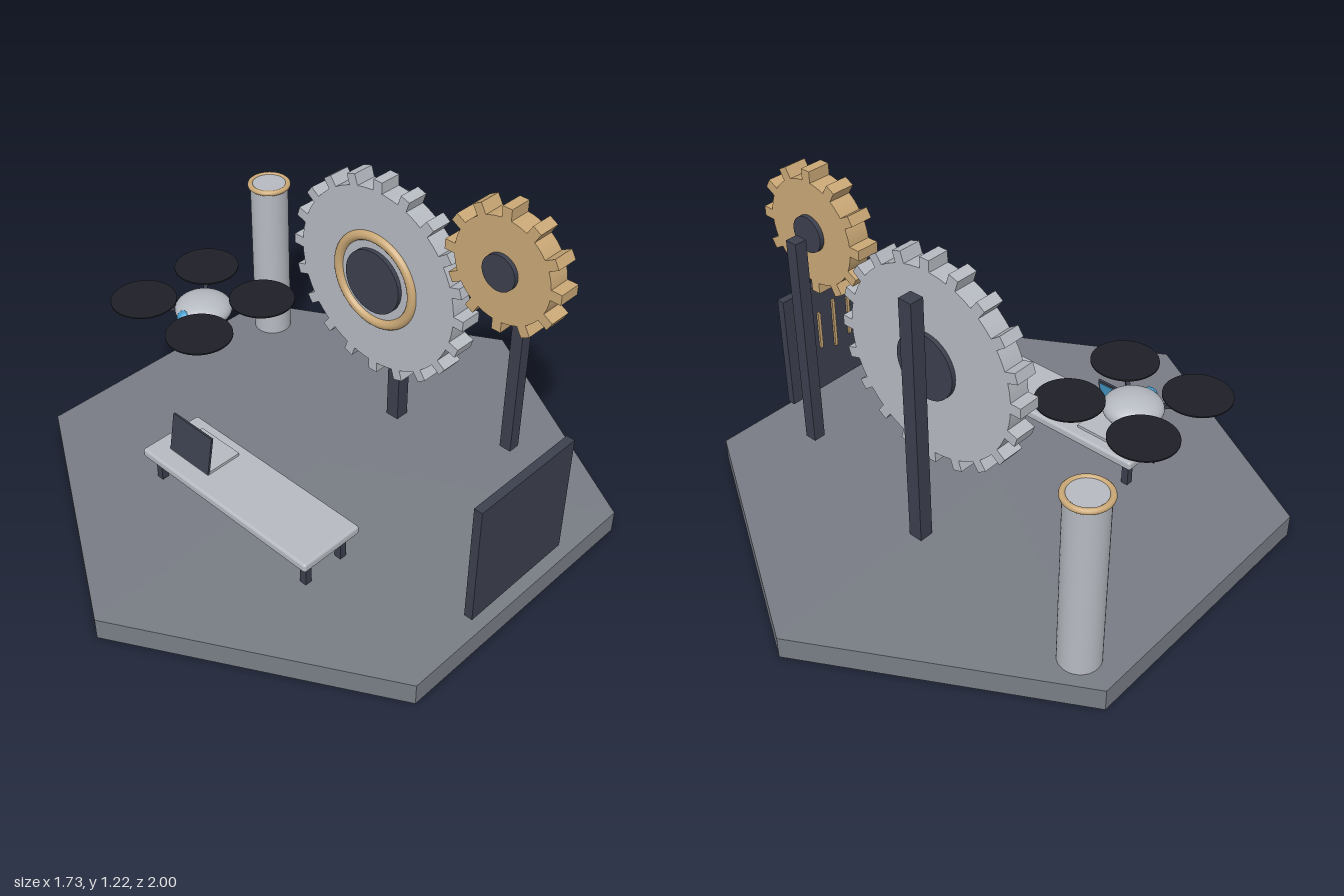
import * as THREE from 'three';
import { RoundedBoxGeometry } from 'three/addons/geometries/RoundedBoxGeometry.js';

const mat = (name, color) => {
  const m = new THREE.MeshStandardMaterial({ color });
  m.name = name;
  return m;
};

export function createModel() {
  const slate = mat('slate grey', 0x787c84);
  const silver = mat('silver', 0xb6bac1);
  const gold = mat('brass', 0xcaa876);
  const dark = mat('dark steel', 0x3c404e);
  const black = mat('rotor black', 0x1f2027);
  const blue = mat('blue glass', 0x459bcb);

  const model = new THREE.Group();
  model.name = 'workshopDiorama';
  const group = (name, x, y, z) => {
    const g = new THREE.Group();
    g.name = name;
    g.position.set(x, y, z);
    model.add(g);
    return g;
  };
  const add = (parent, name, geometry, material, x = 0, y = 0, z = 0) => {
    const m = new THREE.Mesh(geometry, material);
    m.name = name;
    m.position.set(x, y, z);
    parent.add(m);
    return m;
  };
  const box = (w, h, d) => new THREE.BoxGeometry(w, h, d);
  const cyl = (r, h, n = 48) => new THREE.CylinderGeometry(r, r, h, n);

  // Hexagonal base with points to the front and back
  add(model, 'base', new THREE.CylinderGeometry(1, 1, 0.08, 6).toNonIndexed(), slate, 0, 0.04, 0)
    .geometry.computeVertexNormals();

  // Toothed wheels with dark hubs
  const gear = (name, x, y, r, tip, teeth, toothWidth, hubR, material) => {
    const g = group(name, x, y, -0.28);
    add(g, 'disc', cyl(r, 0.08, 64).rotateX(Math.PI / 2), material);
    add(g, 'hub', cyl(hubR, 0.112).rotateX(Math.PI / 2), dark);
    const length = tip - r + 0.02;
    for (let i = 0; i < teeth; i++) {
      const a = (i / teeth) * Math.PI * 2;
      const d = tip - length / 2;
      add(g, 'tooth', box(length, toothWidth, 0.08), material, Math.cos(a) * d, Math.sin(a) * d)
        .rotation.z = a;
    }
    return g;
  };
  const large = gear('largeGear', 0, 0.73, 0.335, 0.374, 20, 0.037, 0.117, silver);
  add(large, 'hubRing', new THREE.TorusGeometry(0.163, 0.018, 16, 64), gold, 0, 0, 0.038);
  gear('smallGear', 0.5, 1, 0.18, 0.218, 12, 0.035, 0.062, gold);

  // Posts behind the gears
  add(model, 'largeGearPost', box(0.052, 1.001, 0.052), dark, 0, 0.4995, -0.38);
  add(model, 'smallGearPost', box(0.044, 0.772, 0.044), dark, 0.5, 0.614, -0.38);

  // Column with a brass rim
  const column = group('column', -0.725, 0, -0.45);
  add(column, 'shaft', cyl(0.07, 0.64), silver, 0, 0.4, 0);
  add(column, 'rim', new THREE.TorusGeometry(0.07, 0.01, 12, 48).rotateX(Math.PI / 2), gold, 0, 0.715, 0);

  // Bench
  const bench = group('bench', 0, 0, 0.357);
  add(bench, 'top', new RoundedBoxGeometry(0.776, 0.034, 0.246, 3, 0.01), silver, 0, 0.191, 0);
  for (const sx of [-1, 1]) for (const sz of [-1, 1])
    add(bench, 'leg', box(0.026, 0.1, 0.026), dark, sx * 0.347, 0.127, sz * 0.078);

  // Laptop facing the back, lid leaning over its keyboard
  const laptop = group('laptop', -0.222, 0.213, 0.345);
  add(laptop, 'keyboard', box(0.186, 0.01, 0.14), silver);
  const lid = new THREE.Group();
  lid.name = 'lid';
  lid.position.set(0, 0, 0.068);
  lid.rotation.x = -0.18;
  laptop.add(lid);
  add(lid, 'lidBack', box(0.19, 0.142, 0.008), dark, 0, 0.07, 0);
  add(lid, 'screen', box(0.174, 0.124, 0.003), blue, 0, 0.07, -0.0048);

  // Display panel with bars on its inner face
  const panel = group('displayPanel', 0.825, 0.337, 0);
  add(panel, 'board', box(0.03, 0.444, 0.44), dark);
  [0.17, 0.15, 0.2, 0.16, 0.14].forEach((h, i) =>
    add(panel, 'bar', box(0.008, h, 0.012), gold, -0.02, 0.034, (i - 2) * 0.07));

  // Four-rotor drone
  const drone = group('drone', -0.47, 0.562, 0.108);
  add(drone, 'body', new THREE.SphereGeometry(0.098, 40, 24).scale(1, 0.49, 1), silver);
  add(drone, 'eye', new THREE.SphereGeometry(0.028, 24, 16), blue, 0, 0, 0.082);
  for (const sx of [-1, 1]) for (const sz of [-1, 1]) {
    const x = sx * 0.142, z = sz * 0.142;
    add(drone, 'arm', box(0.2, 0.014, 0.014), dark, x / 2, 0, z / 2)
      .rotation.y = -Math.atan2(z, x);
    add(drone, 'motor', cyl(0.021, 0.036, 24), silver, x, 0.01, z);
    add(drone, 'rotor', cyl(0.112, 0.005), black, x, 0.037, z);
  }
  return model;
}
